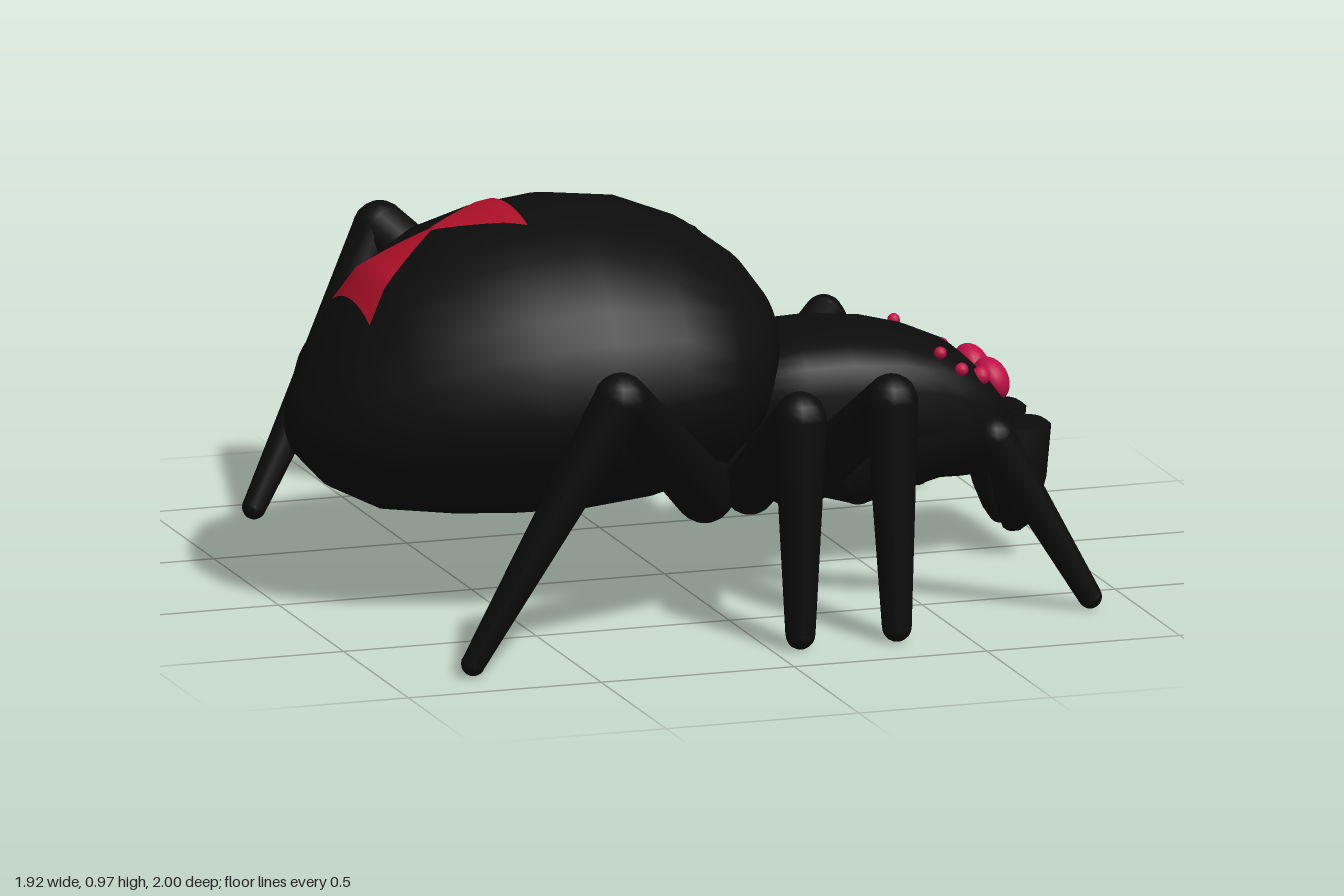
import * as THREE from 'three';
import { toCreasedNormals } from 'three/addons/utils/BufferGeometryUtils.js';

const black = new THREE.MeshStandardMaterial({ color: 0x0c0c0c });
black.name = 'body black';
const red = new THREE.MeshStandardMaterial({ color: 0xb01028, side: THREE.DoubleSide });
red.name = 'marking red';
const pink = new THREE.MeshStandardMaterial({ color: 0xc01048 });
pink.name = 'eye crimson';

const V = (x, y, z) => new THREE.Vector3(x, y, z);

function add(parent, name, geometry, material) {
  const m = new THREE.Mesh(geometry, material);
  m.name = name;
  parent.add(m);
  return m;
}

// Skin a list of closed loops of points
function loft(loops) {
  const n = loops[0].length, index = [];
  for (let i = 0; i < loops.length - 1; i++)
    for (let j = 0; j < n; j++) {
      const k = (j + 1) % n, a = i * n + j, b = a + n, c = i * n + k, d = c + n;
      index.push(a, b, c, b, d, c);
    }
  const g = new THREE.BufferGeometry().setFromPoints(loops.flat());
  g.setIndex(index);
  g.computeVertexNormals();
  return g;
}

// Body section at x: bottom, widest height, top, half width; p squares off the upper half
function section([x, bottom, mid, top, w], p, n = 32) {
  return Array.from({ length: n }, (_, j) => {
    const t = (j / n) * Math.PI * 2, c = Math.cos(t), s = Math.sin(t);
    const e = s > 0 ? 2 / p : 1;
    const z = w * Math.sign(c) * Math.abs(c) ** e;
    return V(x, mid + (s > 0 ? (top - mid) * s ** e : (mid - bottom) * s), z);
  });
}

const abdomenRings = [
  [-0.965, 0.44, 0.44, 0.44, 0.001],
  [-0.95, 0.37, 0.44, 0.53, 0.11],
  [-0.88, 0.295, 0.46, 0.655, 0.25],
  [-0.76, 0.235, 0.48, 0.82, 0.355],
  [-0.6, 0.215, 0.51, 0.915, 0.435],
  [-0.45, 0.207, 0.53, 0.955, 0.485],
  [-0.28, 0.205, 0.55, 0.972, 0.515],
  [-0.1, 0.225, 0.56, 0.95, 0.518],
  [0.05, 0.26, 0.575, 0.89, 0.47],
  [0.17, 0.35, 0.59, 0.8, 0.34],
  [0.235, 0.45, 0.6, 0.715, 0.19],
  [0.255, 0.6, 0.6, 0.6, 0.001],
];

const headRings = [
  [0.08, 0.4, 0.4, 0.4, 0.001],
  [0.1, 0.29, 0.4, 0.5, 0.12],
  [0.2, 0.24, 0.4, 0.57, 0.21],
  [0.3, 0.222, 0.4, 0.6, 0.238],
  [0.42, 0.212, 0.4, 0.603, 0.248],
  [0.55, 0.2, 0.4, 0.588, 0.245],
  [0.65, 0.196, 0.39, 0.562, 0.235],
  [0.74, 0.195, 0.36, 0.523, 0.215],
  [0.8, 0.197, 0.34, 0.465, 0.19],
  [0.86, 0.21, 0.31, 0.385, 0.155],
  [0.865, 0.3, 0.3, 0.3, 0.001],
];

// Height of the upper abdomen surface
function abdomenTop(x, z) {
  const i = abdomenRings.findIndex((r) => r[0] > x);
  const a = abdomenRings[i - 1], b = abdomenRings[i], f = (x - a[0]) / (b[0] - a[0]);
  const [mid, top, w] = [2, 3, 4].map((k) => a[k] + (b[k] - a[k]) * f);
  return mid + (top - mid) * Math.sqrt(Math.max(0, 1 - (z / w) ** 2));
}

// Hourglass patch draped just above the abdomen
function hourglass() {
  const g = new THREE.PlaneGeometry(2, 2, 8, 24), p = g.attributes.position;
  for (let i = 0; i < p.count; i++) {
    const u = p.getY(i), x = -0.605 + 0.205 * u;
    const z = p.getX(i) * (0.008 + 0.137 * Math.abs(u));
    p.setXYZ(i, x - 0.003, abdomenTop(x, z) + 0.006, z);
  }
  // Reverse the winding so the patch faces outwards
  const ix = g.index;
  for (let i = 0; i < ix.count; i += 3) {
    const t = ix.getX(i);
    ix.setX(i, ix.getX(i + 1));
    ix.setX(i + 1, t);
  }
  g.computeVertexNormals();
  return g;
}

// Tapered segments with rounded joints
function leg(name, points, radii) {
  const g = new THREE.Group();
  g.name = name;
  points.forEach((a, i) => {
    add(g, 'joint', new THREE.SphereGeometry(radii[i], 14, 10), black).position.copy(a);
    if (i === points.length - 1) return;
    const d = points[i + 1].clone().sub(a);
    const geo = new THREE.CylinderGeometry(radii[i + 1], radii[i], d.length(), 14, 1, true);
    const m = add(g, 'segment', geo, black);
    m.position.copy(a).addScaledVector(d, 0.5);
    m.quaternion.setFromUnitVectors(V(0, 1, 0), d.normalize());
  });
  return g;
}

// Chelicera sections: y, centre x, half depth, centre z, half width
const fangRings = [
  [0.05, 0.885, 0.001, 0.045, 0.001],
  [0.055, 0.885, 0.018, 0.045, 0.03],
  [0.08, 0.885, 0.03, 0.065, 0.054],
  [0.13, 0.885, 0.045, 0.084, 0.072],
  [0.21, 0.883, 0.062, 0.097, 0.084],
  [0.335, 0.88, 0.08, 0.096, 0.08],
  [0.335, 0.88, 0.001, 0.096, 0.001],
];

function chelicera(s) {
  const n = 20;
  const soft = (v) => Math.sign(v) * Math.abs(v) ** 0.6;
  return toCreasedNormals(loft(fangRings.map(([y, cx, hx, cz, hz]) =>
    Array.from({ length: n }, (_, j) => {
      const t = (j / n) * Math.PI * 2;
      return V(cx + hx * soft(Math.cos(t)), y, s * cz + hz * soft(Math.sin(t)));
    }))), 0.9);
}

export function createModel() {
  const model = new THREE.Group();
  model.name = 'spider';

  add(model, 'abdomen', loft(abdomenRings.map((r) => section(r, 2))), black);
  add(model, 'hourglassMarking', hourglass(), red);
  add(model, 'cephalothorax', loft(headRings.map((r) => section(r, 3.4))), black);

  // Leg joints on one side: hip, elbow, knee, foot
  const legs = {
    frontLeg: [[0.24, 0.3, 0.18], [0.37, 0.3, 0.39], [0.635, 0.45, 0.66], [0.88, 0.028, 0.665]],
    secondLeg: [[0.17, 0.3, 0.18], [0.21, 0.31, 0.42], [0.315, 0.605, 0.815], [0.322, 0.035, 0.835]],
    thirdLeg: [[0.12, 0.3, 0.18], [0.08, 0.31, 0.42], [0.075, 0.58, 0.825], [0.072, 0.035, 0.835]],
    rearLeg: [[0.08, 0.3, 0.18], [-0.03, 0.3, 0.4], [-0.425, 0.69, 0.93], [-0.78, 0.03, 0.845]],
  };
  const radii = {
    frontLeg: [0.06, 0.062, 0.05, 0.03],
    secondLeg: [0.06, 0.068, 0.066, 0.037],
    thirdLeg: [0.06, 0.068, 0.066, 0.037],
    rearLeg: [0.065, 0.075, 0.068, 0.03],
  };

  // Small eyes: position and radius
  const smallEyes = [[0.767, 0.476, 0.158, 0.024], [0.705, 0.506, 0.196, 0.017], [0.655, 0.548, 0.18, 0.016]];

  for (const s of [1, -1]) {
    for (const [name, pts] of Object.entries(legs))
      model.add(leg(name, pts.map(([x, y, z]) => V(x, y, s * z)), radii[name]));

    add(model, 'chelicera', chelicera(s), black);

    const eye = add(model, 'mainEye', new THREE.SphereGeometry(1, 20, 14), pink);
    eye.scale.set(0.042, 0.057, 0.062);
    eye.position.set(0.822, 0.444, s * 0.074);
    eye.rotation.z = 0.35;

    for (const [x, y, z, r] of smallEyes)
      add(model, 'smallEye', new THREE.SphereGeometry(r, 12, 8), pink).position.set(x, y, s * z);
  }
  return model;
}
